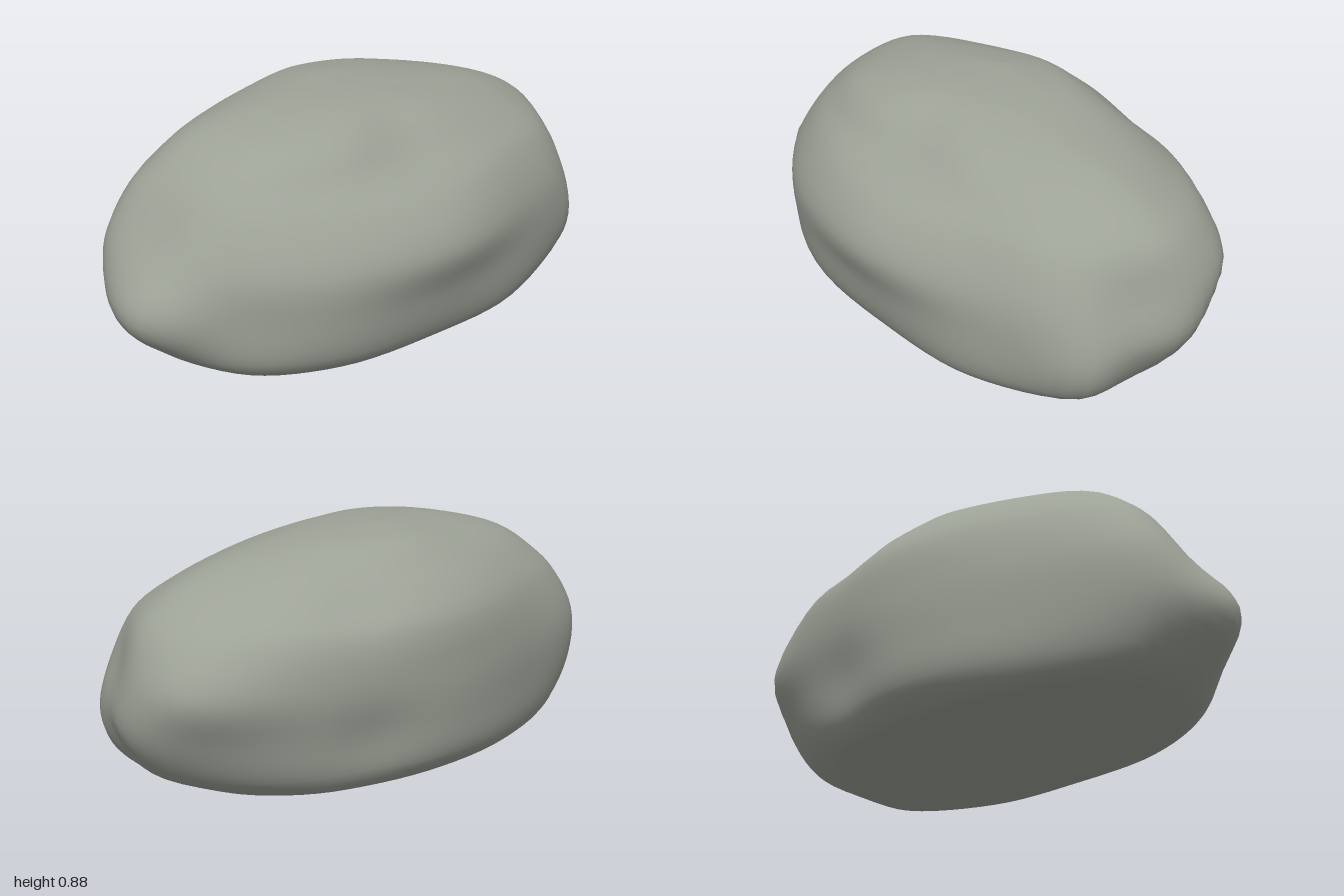
import * as THREE from 'three';
import { mergeVertices } from 'three/addons/utils/BufferGeometryUtils.js';

// Height of each layer, then its radius every 30 degrees from +x towards +z,
// as a share of a 1 x 0.6 ellipse
const LAYERS = [
  [0.0, [0.66, 0.73, 0.72, 0.63, 0.66, 0.68, 0.65, 0.75, 0.72, 0.7, 0.7, 0.68]],
  [0.03, [0.77, 0.86, 0.84, 0.76, 0.78, 0.78, 0.77, 0.86, 0.83, 0.81, 0.81, 0.77]],
  [0.1, [0.89, 0.95, 0.9, 0.83, 0.86, 0.85, 0.87, 0.94, 0.9, 0.91, 0.89, 0.87]],
  [0.26, [0.98, 1.01, 0.93, 0.9, 0.91, 0.88, 0.99, 1.02, 0.94, 0.96, 0.95, 0.97]],
  [0.43, [0.97, 0.99, 0.92, 0.98, 0.92, 0.87, 0.91, 1.02, 0.95, 0.98, 0.99, 1.05]],
  [0.6, [0.91, 0.88, 0.8, 0.83, 0.79, 0.77, 0.79, 0.92, 0.9, 0.96, 0.96, 0.95]],
  [0.69, [0.8, 0.73, 0.65, 0.58, 0.65, 0.68, 0.71, 0.82, 0.82, 0.87, 0.85, 0.81]],
  [0.78, [0.59, 0.5, 0.46, 0.41, 0.51, 0.56, 0.58, 0.68, 0.68, 0.71, 0.68, 0.61]],
  [0.84, [0.3, 0.24, 0.24, 0.25, 0.31, 0.35, 0.38, 0.46, 0.5, 0.58, 0.5, 0.37]],
  [0.865, [0.08, 0.06, 0.06, 0.06, 0.1, 0.14, 0.19, 0.27, 0.34, 0.43, 0.3, 0.15]],
];
// Local bumps (+) and dents (-): x, y, z, radius, push along the surface normal
const BUMPS = [
  [-0.95, 0.28, 0.06, 0.16, 0.025], // nose at the right end
  [-0.87, 0.5, -0.03, 0.13, -0.015], // notch above the nose
  [0.97, 0.28, -0.12, 0.18, 0.025], // left end
  [0.92, 0.46, 0.17, 0.17, -0.04], // hollow behind the front left corner
  [0.9, 0.2, 0.13, 0.14, -0.03], // foot of that hollow
  [0.86, 0.18, 0.31, 0.14, 0.025], // front left corner
  [0.3, 0.2, -0.53, 0.15, -0.025], // groove low on the back
  [0.32, 0.68, -0.46, 0.14, -0.02], // groove high on the back
];
const AROUND = 72;
const UP = 55;

// Closed smooth outline of one layer
function outline([y, radii]) {
  const points = radii.map((r, i) => {
    const a = (i / radii.length) * Math.PI * 2;
    return new THREE.Vector3(Math.cos(a) * r, y, Math.sin(a) * r * 0.6);
  });
  return new THREE.CatmullRomCurve3(points, true);
}

// Push vertices near each bump along their normals, keeping the base flat
function sculpt(geometry) {
  geometry.computeVertexNormals();
  const position = geometry.attributes.position;
  const p = new THREE.Vector3();
  const n = new THREE.Vector3();
  const center = new THREE.Vector3();
  for (let i = 0; i < position.count; i++) {
    p.fromBufferAttribute(position, i);
    n.fromBufferAttribute(geometry.attributes.normal, i);
    let push = 0;
    for (const [x, y, z, radius, amount] of BUMPS) {
      const d = p.distanceTo(center.set(x, y, z)) / radius;
      push += amount * Math.exp(-d * d);
    }
    p.addScaledVector(n, push);
    position.setXYZ(i, p.x, Math.max(0, p.y), p.z);
  }
  geometry.computeVertexNormals();
}

// Smooth skin from the middle of the base, up through the layers, to the crown
function rockGeometry() {
  const outlines = LAYERS.map(outline);
  const base = new THREE.Vector3(0, 0, 0);
  const crown = new THREE.Vector3(-0.04, 0.878, -0.17);
  const positions = [];
  const index = [];
  for (let i = 0; i < AROUND; i++) {
    const column = new THREE.CatmullRomCurve3(
      [base, ...outlines.map((o) => o.getPoint(i / AROUND)), crown]);
    for (let j = 0; j <= UP; j++) {
      const p = column.getPoint(j / UP);
      positions.push(p.x, Math.max(0, p.y), p.z);
      if (j === UP) continue;
      const a = i * (UP + 1) + j;
      const b = ((i + 1) % AROUND) * (UP + 1) + j;
      if (j < UP - 1) index.push(a, a + 1, b + 1);
      else index.push(a, a + 1, b);
      if (j > 0 && j < UP - 1) index.push(a, b + 1, b);
    }
  }
  const geometry = new THREE.BufferGeometry();
  geometry.setAttribute('position', new THREE.Float32BufferAttribute(positions, 3));
  geometry.setIndex(index);
  const merged = mergeVertices(geometry, 1e-5);
  sculpt(merged);
  return merged;
}

export function createModel() {
  const stone = new THREE.MeshStandardMaterial({ color: 0x9da297 });
  stone.name = 'greyStone';
  const rock = new THREE.Mesh(rockGeometry(), stone);
  rock.name = 'boulder';
  const group = new THREE.Group();
  group.name = 'rock';
  group.add(rock);
  return group;
}
